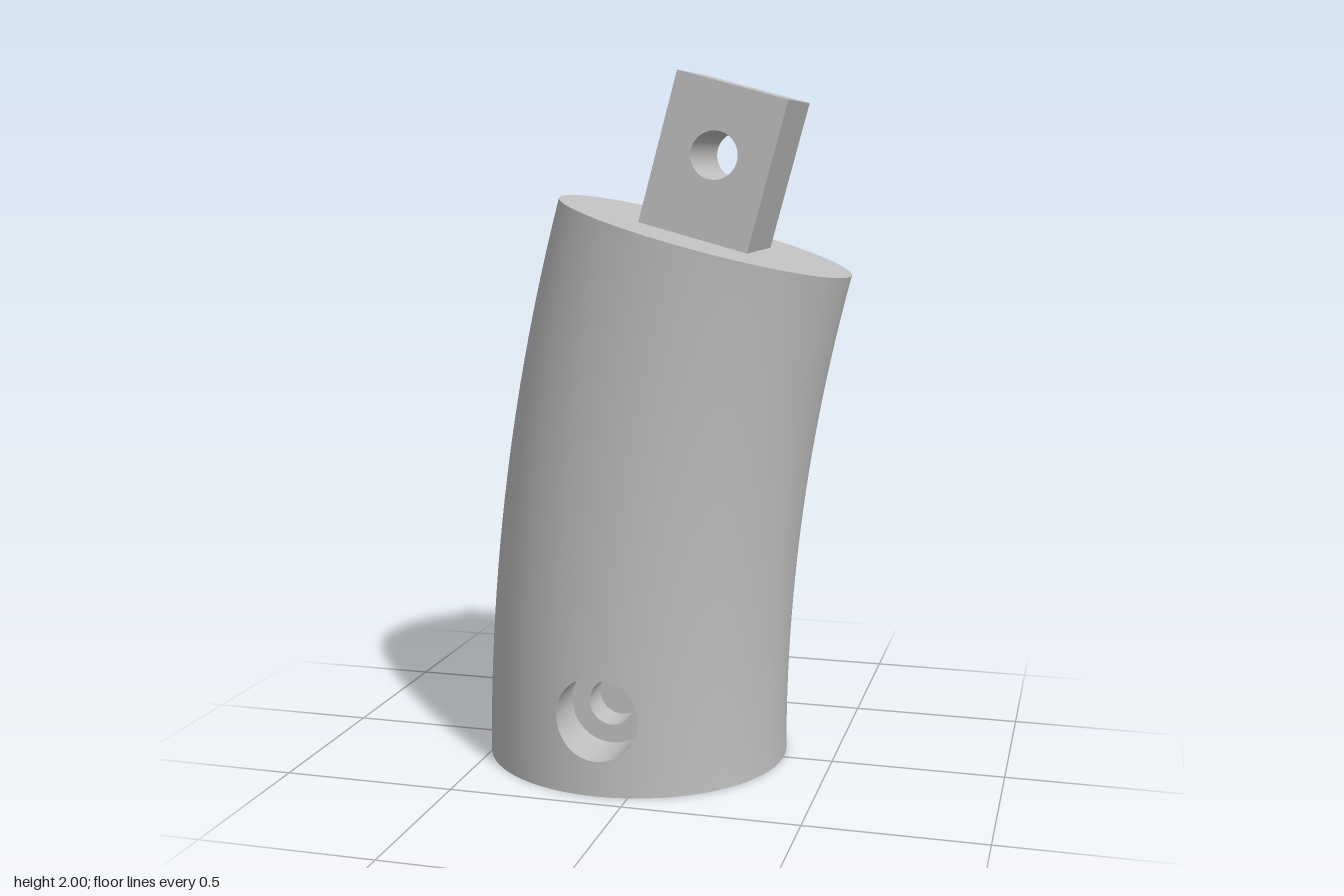
import * as THREE from 'three';

const grey = new THREE.MeshStandardMaterial({ color: 0xc0c0c0, side: THREE.DoubleSide });
grey.name = 'plain grey';

// The limb bends along an arc about (ARC_X, 0)
const ARC_R = 5.94, ARC_X = 5.85, BEND = Math.PI / 12;
const R_BOTTOM = 0.445, R_TOP = 0.4325;
const COLS = 32, ROWS = 24;
const HOLE = { x: -0.09, y: 0.22, bore: 0.067, wide: 0.12, ledgeZ: 0.28 };
const SOCKET = 0.18, SOCKET_DEPTH = 0.46, TENON = 0.161, TENON_H = 0.431;

const radiusAt = (th) => R_BOTTOM + (R_TOP - R_BOTTOM) * th / BEND;

// Point and normal on the bent skin
function skin(phi, th) {
  const r = radiusAt(th), d = ARC_R - r * Math.cos(phi);
  return {
    p: [ARC_X - d * Math.cos(th), d * Math.sin(th), r * Math.sin(phi)],
    n: [Math.cos(phi) * Math.cos(th), -Math.cos(phi) * Math.sin(th), Math.sin(phi)],
  };
}

// Skin coordinates of a front point (x, y)
function locate(x, y) {
  const th = Math.atan2(y, ARC_X - x);
  const l = ARC_R - Math.hypot(y, ARC_X - x);
  return [Math.acos(l / radiusAt(th)), th];
}

function quadBuilder() {
  const pos = [], nor = [];
  return {
    quad(a, b, c, d) {
      for (const v of [a, b, c, a, c, d]) { pos.push(...v.p); nor.push(...v.n); }
    },
    build() {
      const g = new THREE.BufferGeometry();
      g.setAttribute('position', new THREE.Float32BufferAttribute(pos, 3));
      g.setAttribute('normal', new THREE.Float32BufferAttribute(nor, 3));
      return g;
    },
  };
}

function add(parent, name, geometry) {
  const mesh = new THREE.Mesh(geometry, grey);
  mesh.name = name;
  parent.add(mesh);
  return mesh;
}

// Front half of the limb: skin, counterbore, bore and socket wall
function makeHalf() {
  const half = new THREE.Group();
  const body = quadBuilder(), recess = quadBuilder();
  const c0 = 11, c1 = 21, r1 = 7; // grid window left free for the hole
  const node = (i, j) => [Math.PI * i / COLS, BEND * j / ROWS];
  const at = (i, j) => skin(...node(i, j));

  for (let i = 0; i < COLS; i++) {
    for (let j = 0; j < ROWS; j++) {
      if (i >= c0 && i < c1 && j < r1) continue;
      body.quad(at(i, j), at(i, j + 1), at(i + 1, j + 1), at(i + 1, j));
    }
  }

  // Window border, anticlockwise
  const border = [];
  for (let i = c1; i > c0; i--) border.push(node(i, 0));
  for (let j = 0; j < r1; j++) border.push(node(c0, j));
  for (let i = c0; i < c1; i++) border.push(node(i, r1));
  for (let j = r1; j > 0; j--) border.push(node(c1, j));

  // Rays from the hole rim to the border
  const RINGS = 4;
  const rays = border.map((o) => {
    const q = skin(...o).p;
    const a = Math.atan2(q[1] - HOLE.y, q[0] - HOLE.x);
    const x = HOLE.x + HOLE.wide * Math.cos(a), y = HOLE.y + HOLE.wide * Math.sin(a);
    const rim = locate(x, y);
    const pts = [];
    for (let k = 0; k <= RINGS; k++) {
      const f = k / RINGS;
      pts.push(skin(rim[0] + (o[0] - rim[0]) * f, rim[1] + (o[1] - rim[1]) * f));
    }
    const n = [-Math.cos(a), -Math.sin(a), 0];
    return { pts, top: { p: pts[0].p, n }, low: { p: [x, y, HOLE.ledgeZ], n } };
  });
  rays.forEach((a, i) => {
    const b = rays[(i + 1) % rays.length];
    for (let k = 0; k < RINGS; k++) body.quad(a.pts[k], a.pts[k + 1], b.pts[k + 1], b.pts[k]);
    recess.quad(a.top, b.top, b.low, a.low);
  });
  add(half, 'limbSkin', body.build());
  add(half, 'counterboreWall', recess.build());

  // Ledge and narrow bore
  add(half, 'counterboreLedge', new THREE.RingGeometry(HOLE.bore, HOLE.wide, 48))
    .position.set(HOLE.x, HOLE.y, HOLE.ledgeZ);
  const len = HOLE.ledgeZ - SOCKET;
  const bore = new THREE.CylinderGeometry(HOLE.bore, HOLE.bore, len, 48, 1, true).rotateX(Math.PI / 2);
  add(half, 'pinBore', bore).position.set(HOLE.x, HOLE.y, SOCKET + len / 2);

  // Socket wall pierced by the bore
  const wall = new THREE.Shape();
  wall.moveTo(-SOCKET, 0).lineTo(SOCKET, 0).lineTo(SOCKET, SOCKET_DEPTH).lineTo(-SOCKET, SOCKET_DEPTH);
  wall.holes.push(new THREE.Path().absarc(0, HOLE.y, HOLE.bore, 0, Math.PI * 2, true));
  const w = add(half, 'socketPiercedWall', new THREE.ShapeGeometry(wall, 48).rotateY(Math.PI));
  w.position.set(HOLE.x, 0, SOCKET);
  return half;
}

export function createModel() {
  const model = new THREE.Group();
  model.name = 'bentLimbSegment';

  const front = makeHalf();
  front.name = 'frontHalf';
  const back = makeHalf();
  back.name = 'backHalf';
  back.scale.z = -1;
  model.add(front, back);

  // Flat base with the square socket opening
  const base = new THREE.Shape().absarc(0, 0, R_BOTTOM, 0, Math.PI * 2);
  base.holes.push(new THREE.Path([[-1, -1], [-1, 1], [1, 1], [1, -1]]
    .map(([x, y]) => new THREE.Vector2(x * SOCKET, y * SOCKET))));
  add(model, 'baseFace', new THREE.ShapeGeometry(base, COLS * 2).rotateX(Math.PI / 2)).position.x = HOLE.x;

  // Socket sides and ceiling
  for (const s of [-1, 1]) {
    const side = new THREE.PlaneGeometry(SOCKET * 2, SOCKET_DEPTH).rotateY(-s * Math.PI / 2);
    add(model, 'socketSide', side).position.set(HOLE.x + s * SOCKET, SOCKET_DEPTH / 2, 0);
  }
  add(model, 'socketCeiling', new THREE.PlaneGeometry(SOCKET * 2, SOCKET * 2).rotateX(Math.PI / 2))
    .position.set(HOLE.x, SOCKET_DEPTH, 0);

  // Tilted top face and square tenon with a pin hole
  const top = new THREE.Group();
  top.name = 'tiltedTop';
  top.position.set(ARC_X - ARC_R * Math.cos(BEND), ARC_R * Math.sin(BEND), 0);
  top.rotation.z = -BEND;
  add(top, 'topFace', new THREE.CircleGeometry(R_TOP, COLS * 2).rotateX(-Math.PI / 2));
  const block = new THREE.Shape();
  block.moveTo(-TENON, 0).lineTo(TENON, 0).lineTo(TENON, TENON_H).lineTo(-TENON, TENON_H);
  block.holes.push(new THREE.Path().absarc(0, 0.234, HOLE.bore, 0, Math.PI * 2, true));
  const tenon = new THREE.ExtrudeGeometry(block, { depth: TENON * 2, bevelEnabled: false, curveSegments: 48 });
  add(top, 'tenon', tenon.translate(0, 0, -TENON));
  model.add(top);

  return model;
}
